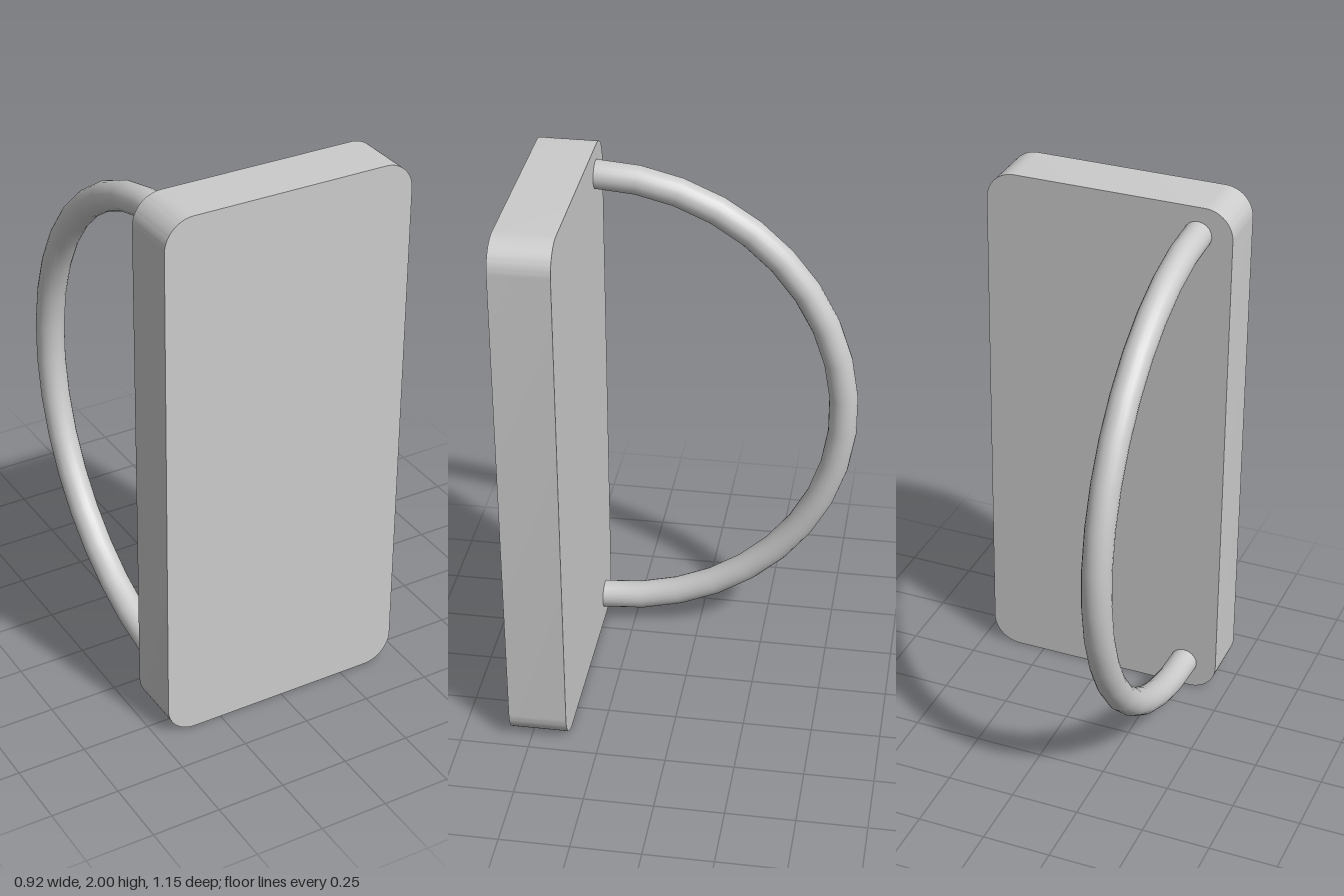
import * as THREE from 'three';
import { toCreasedNormals } from 'three/addons/utils/BufferGeometryUtils.js';

const W = 0.458, H = 2, R = 0.105;       // plate half width, height, corner radius
const BACK = 0.367, FRONT = 0.577;       // plate faces along z
const BEND = 0.895, TUBE = 0.052;        // handle arc and tube radii

export function createModel() {
  const group = new THREE.Group();
  const material = new THREE.MeshStandardMaterial({ color: 0xcccccc });

  // Upright plate with rounded corners
  const outline = new THREE.Shape();
  outline.absarc(W - R, R, R, -Math.PI / 2, 0);
  outline.absarc(W - R, H - R, R, 0, Math.PI / 2);
  outline.absarc(R - W, H - R, R, Math.PI / 2, Math.PI);
  outline.absarc(R - W, R, R, Math.PI, Math.PI * 1.5);
  outline.closePath();
  const plateGeometry = new THREE.ExtrudeGeometry(outline, {
    depth: FRONT - BACK, bevelEnabled: false, curveSegments: 10,
  });
  const plate = new THREE.Mesh(toCreasedNormals(plateGeometry, Math.PI / 6), material);
  plate.name = 'plate';
  plate.position.z = BACK;
  group.add(plate);

  // Half-ring handle on the back, near the right edge
  const handle = new THREE.Mesh(new THREE.TorusGeometry(BEND, TUBE, 20, 19, Math.PI), material);
  handle.name = 'handle';
  handle.geometry.rotateZ(Math.PI / 2);  // arc opens toward +x
  handle.geometry.rotateY(-Math.PI / 2); // bulge points to -z
  handle.position.set(-0.33, H / 2, BACK);
  group.add(handle);

  return group;
}
